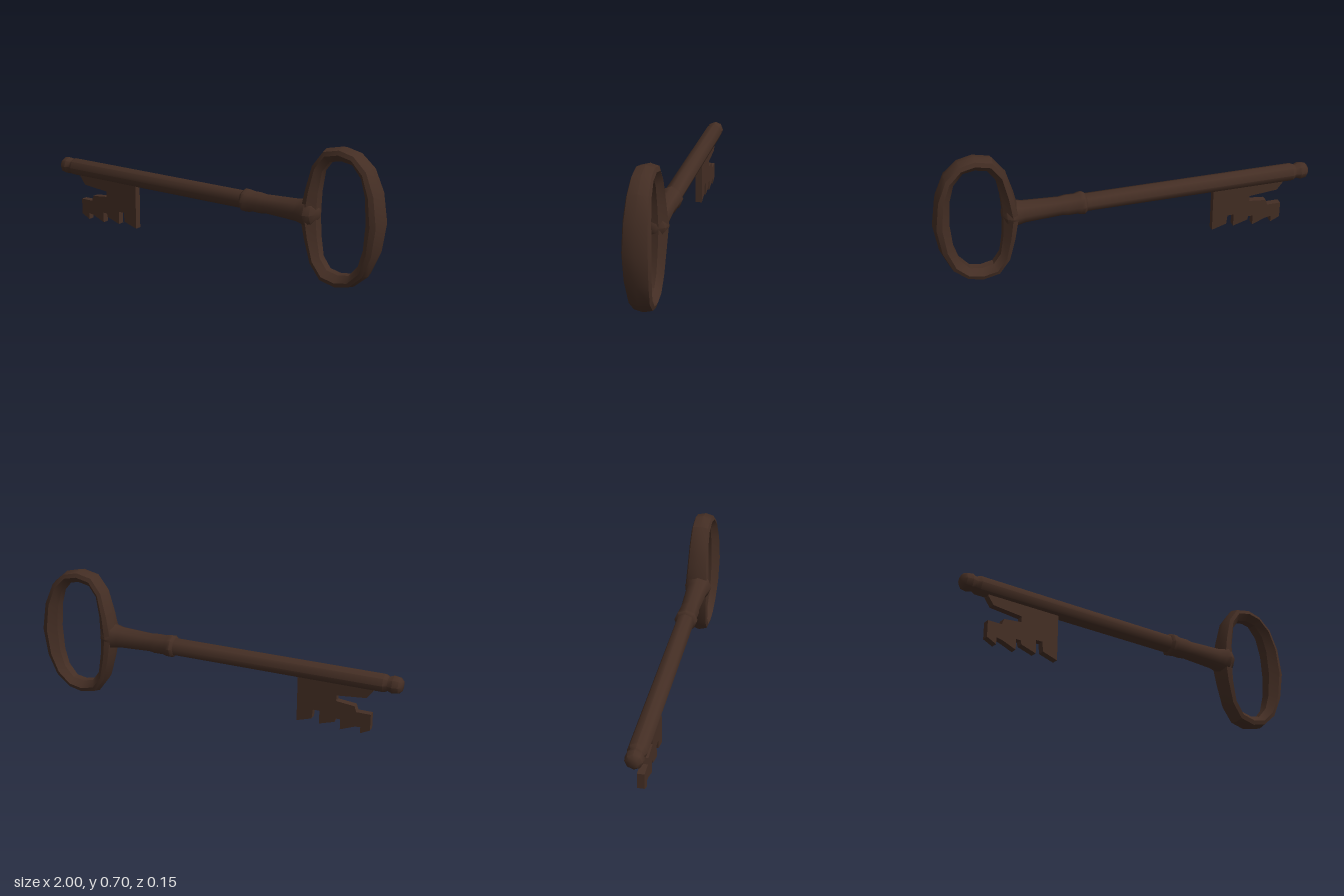
import * as THREE from 'three';
import { toCreasedNormals } from 'three/addons/utils/BufferGeometryUtils.js';

const AXIS_Y = 0.353;

// Turned part running along x, from [x, radius] pairs
function turned(profile) {
  const points = profile.map(([x, r]) => new THREE.Vector2(r, x));
  return new THREE.LatheGeometry(points, 8).rotateZ(-Math.PI / 2).translate(0, AXIS_Y, 0);
}

// Closed oval loop with a faceted section that changes in width and depth
function bowGeometry() {
  // outer x, outer height, inner x, inner height, half depth (heights from the axis)
  const half = [
    [0.998, 0, 0.915, 0, 0.068], [0.975, 0.15, 0.905, 0.13, 0.064],
    [0.925, 0.265, 0.88, 0.215, 0.057], [0.85, 0.33, 0.83, 0.273, 0.052],
    [0.77, 0.35, 0.77, 0.283, 0.05], [0.68, 0.33, 0.71, 0.27, 0.05],
    [0.62, 0.25, 0.67, 0.215, 0.052], [0.585, 0.125, 0.652, 0.11, 0.058],
    [0.56, 0, 0.645, 0, 0.066],
  ];
  const lower = half.slice(1, -1).reverse().map(([ox, oy, ix, iy, d]) => [ox, -oy, ix, -iy, d]);
  const stations = [...half, ...lower];
  // section: share of the way from outer to inner edge, share of half depth
  const section = [[0, 0], [0.17, 0.85], [0.5, 1], [1, 0.4], [1, -0.4], [0.5, -1], [0.17, -0.85]];
  const n = stations.length, m = section.length;
  const positions = [], index = [];
  stations.forEach(([ox, oy, ix, iy, d], k) => {
    section.forEach(([t, z], j) => {
      positions.push(ox + (ix - ox) * t, AXIS_Y + oy + (iy - oy) * t, z * d - 0.006);
      const k2 = (k + 1) % n, j2 = (j + 1) % m;
      const a = k * m + j, b = k2 * m + j, c = k2 * m + j2, e = k * m + j2;
      index.push(a, b, c, a, c, e);
    });
  });
  const geometry = new THREE.BufferGeometry();
  geometry.setAttribute('position', new THREE.Float32BufferAttribute(positions, 3));
  geometry.setIndex(index);
  return geometry;
}

// Toothed plate under the shaft
function bitGeometry() {
  const outline = [
    [-0.47, 0.33], [-0.86, 0.33], [-0.86, 0.305], [-0.83, 0.265], [-0.675, 0.25],
    [-0.675, 0.22], [-0.77, 0.21], [-0.78, 0.18], [-0.855, 0.18], [-0.855, 0.095],
    [-0.805, 0.07], [-0.805, 0.105], [-0.775, 0.1], [-0.7, 0.07], [-0.7, 0.125],
    [-0.675, 0.125], [-0.67, 0.105], [-0.59, 0.08], [-0.59, 0.15], [-0.555, 0.15],
    [-0.55, 0.1], [-0.47, 0.075],
  ];
  const shape = new THREE.Shape(outline.map(([x, y]) => new THREE.Vector2(x, y)));
  return new THREE.ExtrudeGeometry(shape, { depth: 0.036, bevelEnabled: false }).translate(0, 0, -0.018);
}

export function createModel() {
  const group = new THREE.Group();
  group.name = 'key';
  const iron = new THREE.MeshStandardMaterial({ color: 0x442e24 });
  iron.name = 'darkIron';

  const add = (name, geometry, crease) => {
    const mesh = new THREE.Mesh(toCreasedNormals(geometry, crease), iron);
    mesh.name = name;
    group.add(mesh);
  };

  // Shaft with its rounded tip
  add('shaft', turned([
    [-1, 0], [-1, 0.026], [-0.985, 0.042], [-0.955, 0.047], [-0.93, 0.037],
    [-0.91, 0.048], [0.23, 0.048],
  ]), 0.85);
  // Collar, flaring neck and the hub that joins the bow
  add('collarAndNeck', turned([
    [0.21, 0], [0.215, 0.048], [0.23, 0.061], [0.25, 0.06], [0.27, 0.054], [0.32, 0.055],
    [0.35, 0.05], [0.54, 0.059], [0.575, 0.067], [0.6, 0.075], [0.63, 0.062], [0.65, 0.025], [0.652, 0],
  ]), 0.85);
  add('bow', bowGeometry(), 0.6);
  add('bit', bitGeometry(), 0.5);
  return group;
}
